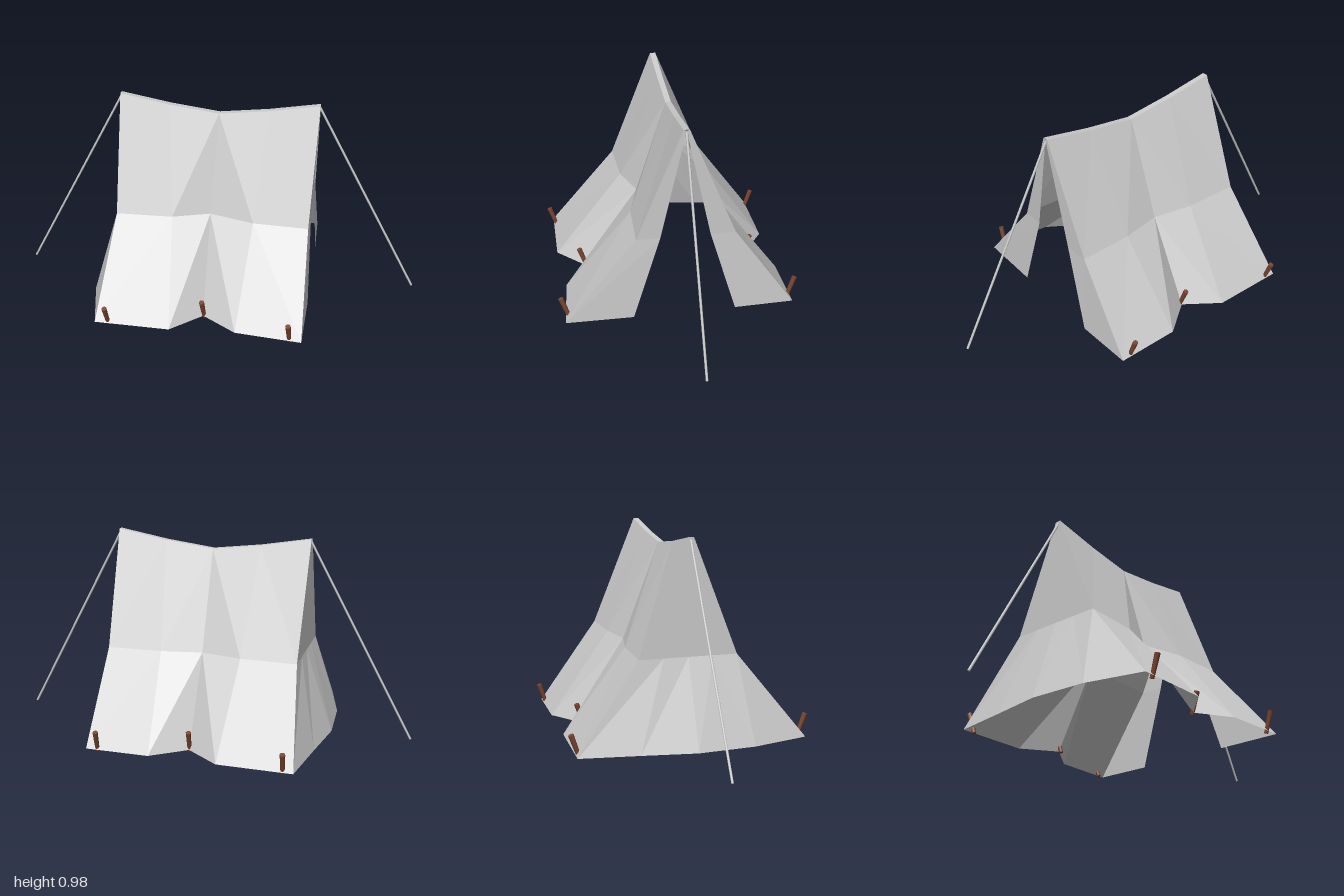
import * as THREE from 'three';

const clothMaterial = new THREE.MeshStandardMaterial({ color: 0xcccccc, flatShading: true, side: THREE.DoubleSide });
const ropeMaterial = new THREE.MeshStandardMaterial({ color: 0xcccccc });
const pegMaterial = new THREE.MeshStandardMaterial({ color: 0x7a4630 });

const HEM = 0.012, FOLD = 0.43;

// Faceted cloth from rows of points (top to bottom, left to right seen from outside).
function cloth(name, rows, flip = () => false) {
  const positions = [];
  for (let r = 0; r < rows.length - 1; r++) {
    for (let c = 0; c < rows[r].length - 1; c++) {
      const a = rows[r][c], b = rows[r][c + 1];
      const d = rows[r + 1][c], e = rows[r + 1][c + 1];
      const quad = flip(c) ? [a, d, e, a, e, b] : [a, d, b, b, d, e];
      quad.forEach((p) => positions.push(...p));
    }
  }
  const geometry = new THREE.BufferGeometry();
  geometry.setAttribute('position', new THREE.Float32BufferAttribute(positions, 3));
  geometry.computeVertexNormals();
  const mesh = new THREE.Mesh(geometry, clothMaterial);
  mesh.name = name;
  return mesh;
}

// Cylinder between two points.
function rod(name, from, to, rFrom, rTo, sides, material) {
  const a = new THREE.Vector3(...from), b = new THREE.Vector3(...to);
  const dir = b.clone().sub(a);
  const mesh = new THREE.Mesh(new THREE.CylinderGeometry(rTo, rFrom, dir.length(), sides), material);
  mesh.position.copy(a).add(b).multiplyScalar(0.5);
  mesh.quaternion.setFromUnitVectors(new THREE.Vector3(0, 1, 0), dir.normalize());
  mesh.name = name;
  return mesh;
}

export function createModel() {
  const tent = new THREE.Group();
  tent.name = 'tent';

  // Sagging ridge, as [x, y]
  const ridge = [[-0.485, 0.978], [-0.24, 0.935], [0, 0.905], [0.24, 0.935], [0.485, 0.978]];
  const ridgeFront = ridge.map(([x, y]) => [x, y, 0]);
  const ridgeBack = ridge.map(([x, y]) => [x, y, -0.028]);
  const at = (y) => ([x, z]) => [x, y, z];

  // Side walls: fold row and hem row, as [x, z]
  const frontFold = [[-0.475, 0.215], [-0.2, 0.205], [-0.02, 0.145], [0.2, 0.205], [0.467, 0.215]].map(at(FOLD));
  const frontHem = [[-0.52, 0.552], [-0.155, 0.555], [-0.01, 0.42], [0.16, 0.53], [0.48, 0.557]].map(at(HEM));
  const backFold = [[-0.475, -0.255], [-0.2, -0.25], [0, -0.21], [0.2, -0.245], [0.467, -0.255]].map(at(FOLD));
  const backHem = [[-0.53, -0.552], [-0.165, -0.55], [0, -0.43], [0.165, -0.55], [0.477, -0.552]].map(at(HEM));
  const reversed = (row) => [...row].reverse();

  tent.add(cloth('ridgeStrip', [ridgeBack, ridgeFront]));
  tent.add(cloth('frontWall', [ridgeFront, frontFold, frontHem], (c) => c >= 2));
  tent.add(cloth('backWall', [ridgeBack, backFold, backHem].map(reversed), (c) => c >= 2));

  // Closed end with a bulging hem
  const blend = (a, b, t) => a.map((v, i) => v + (b[i] - v) * t);
  const steps = [0, 0.25, 0.5, 0.75, 1];
  const endHem = [backHem[0], ...[[-0.57, -0.27], [-0.61, -0.01], [-0.592, 0.27]].map(at(HEM)), frontHem[0]];
  tent.add(cloth('closedEnd', [
    steps.map((t) => blend(ridgeBack[0], ridgeFront[0], t)),
    steps.map((t) => blend(backFold[0], frontFold[0], t)),
    endHem,
  ]));

  // Door flaps either side of the open end
  const apex = [0.485, 0.972, -0.014];
  tent.add(cloth('frontDoorFlap', [
    [ridgeFront[4], apex], [frontFold[4], [0.472, FOLD, 0.102]], [frontHem[4], [0.484, HEM, 0.232]],
  ]));
  tent.add(cloth('backDoorFlap', [
    [apex, ridgeBack[4]], [[0.472, FOLD, -0.135], backFold[4]], [[0.484, HEM, -0.262], backHem[4]],
  ]));

  // Guy ropes
  tent.add(rod('guyRopeRight', [-0.482, 0.965, -0.014], [-0.996, 0.008, 0.008], 0.006, 0.006, 6, ropeMaterial));
  tent.add(rod('guyRopeLeft', [0.482, 0.965, -0.014], [0.996, 0.008, -0.018], 0.006, 0.006, 6, ropeMaterial));

  // Pegs leaning outwards: [x, z] at the ground
  const pegs = [[-0.457, 0.535], [-0.007, 0.41], [0.422, 0.535], [-0.477, -0.535], [0.002, -0.415], [0.424, -0.535]];
  pegs.forEach(([x, z], i) => {
    tent.add(rod(`peg${i + 1}`, [x, 0.004, z], [x - 0.006, 0.11, z + 0.037 * Math.sign(z)], 0.01, 0.013, 8, pegMaterial));
  });

  return tent;
}
